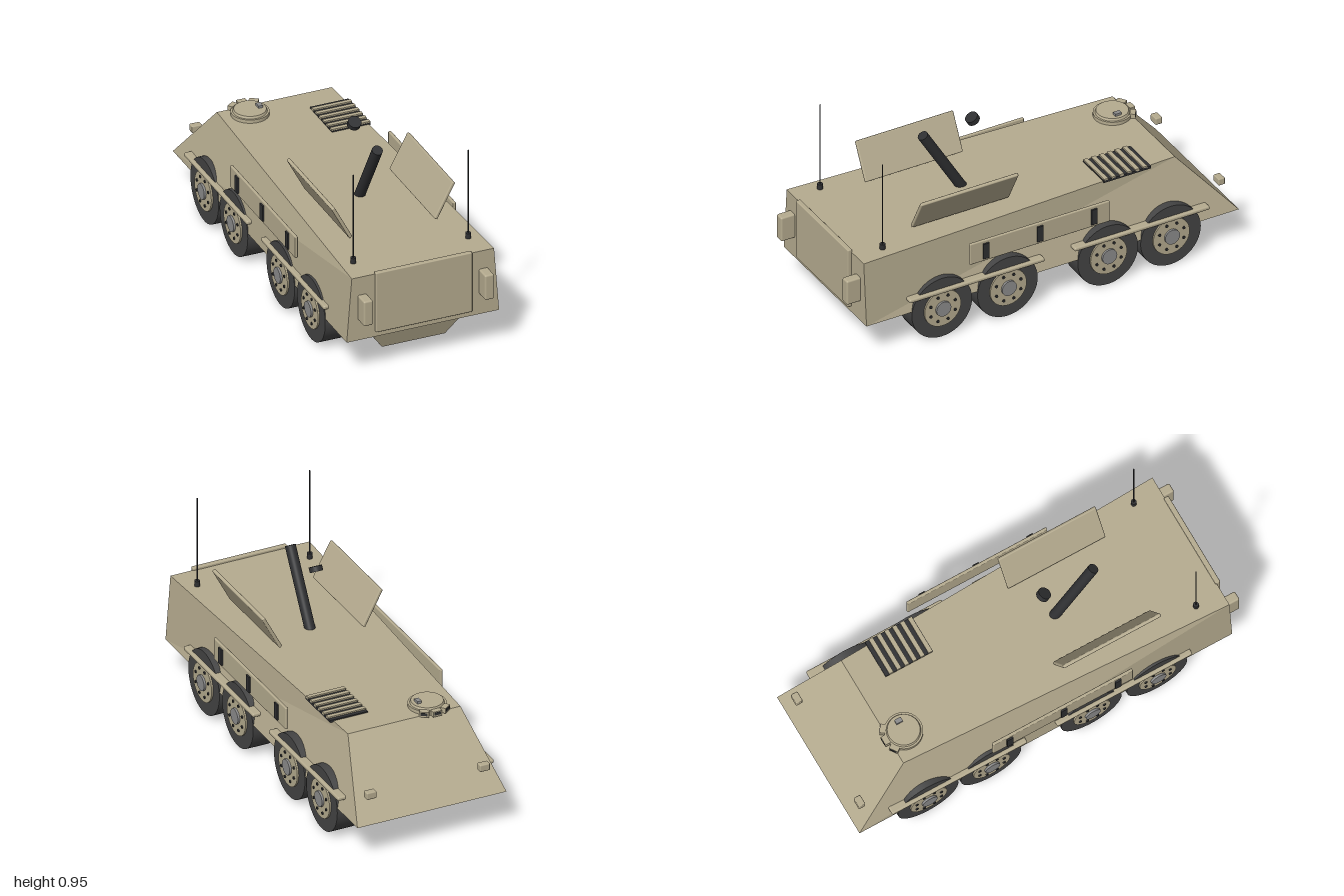
import * as THREE from 'three';
import { RoundedBoxGeometry } from 'three/addons/geometries/RoundedBoxGeometry.js';

const paint = (color, extra = {}) => new THREE.MeshStandardMaterial({ color, ...extra });
const tan = paint(0xb5ab8f);
const tanFlat = paint(0xb5ab8f, { flatShading: true });
const rubber = paint(0x444444);
const black = paint(0x2e2f31);
const steel = paint(0x8c8c8c);

export function createModel() {
  const model = new THREE.Group();

  const add = (name, geometry, material, x = 0, y = 0, z = 0, parent = model) => {
    const mesh = new THREE.Mesh(geometry, material);
    mesh.name = name;
    mesh.position.set(x, y, z);
    parent.add(mesh);
    return mesh;
  };
  const box = (w, h, d) => new THREE.BoxGeometry(w, h, d);
  const disc = (r, h, n = 40) => new THREE.CylinderGeometry(r, r, h, n);
  const axle = (r, h, n) => disc(r, h, n).rotateZ(Math.PI / 2);

  // Six-sided solid; each level gives y and [half width, z] for rear and front
  const hullBlock = (low, high) => {
    const points = [low, high].flatMap(({ y, rear, front }) => [
      -rear[0], y, rear[1], rear[0], y, rear[1],
      front[0], y, front[1], -front[0], y, front[1],
    ]);
    const index = [4, 5, 6, 4, 6, 7, 0, 2, 1, 0, 3, 2];
    for (let i = 0; i < 4; i++) {
      const j = (i + 1) % 4;
      index.push(i, j, j + 4, i, j + 4, i + 4);
    }
    const g = new THREE.BufferGeometry();
    g.setAttribute('position', new THREE.Float32BufferAttribute(points, 3));
    g.setIndex(index);
    const flat = g.toNonIndexed();
    flat.computeVertexNormals();
    return flat;
  };

  // Hull: armoured body and narrower belly
  add('upperHull', hullBlock(
    { y: 0.18, rear: [0.375, 0.93], front: [0.375, -1] },
    { y: 0.503, rear: [0.35, 0.93], front: [0.283, -0.72] }), tanFlat);
  add('lowerHull', hullBlock(
    { y: 0.055, rear: [0.155, 0.825], front: [0.155, -0.765] },
    { y: 0.182, rear: [0.246, 0.87], front: [0.246, -0.98] }), tanFlat);

  // Rear ramp
  add('rearDoor', new RoundedBoxGeometry(0.474, 0.306, 0.024, 2, 0.005), tan, 0, 0.362, 0.936);

  // Wheels with rim, hub and a ring of bolts
  const wheel = (side, z) => {
    const g = new THREE.Group();
    g.name = 'wheel';
    g.position.set(0, 0.157, z);
    add('tyre', axle(0.156, 0.112, 48), rubber, side * 0.321, 0, 0, g);
    add('rim', axle(0.094, 0.02), tan, side * 0.375, 0, 0, g);
    add('hub', axle(0.038, 0.03, 24), steel, side * 0.38, 0, 0, g);
    for (let i = 0; i < 8; i++) {
      const a = (i + 0.5) * Math.PI / 4;
      add('bolt', axle(0.007, 0.02, 10), black,
        side * 0.38, Math.sin(a) * 0.068, Math.cos(a) * 0.068, g);
    }
    model.add(g);
  };

  for (const side of [-1, 1]) {
    for (const z of [0.54, 0.2, -0.32, -0.645]) wheel(side, z);

    // Mud guard rails above each wheel pair
    for (const z of [0.365, -0.49])
      add('fender', new RoundedBoxGeometry(0.045, 0.02, 0.7, 3, 0.008), tan, side * 0.371, 0.25, z);

    // Stowage panel with straps
    add('sidePanel', new RoundedBoxGeometry(0.015, 0.11, 0.725, 2, 0.005), tan, side * 0.389, 0.405, 0.043);
    for (const z of [0.325, 0.045, -0.235])
      add('panelStrap', box(0.012, 0.08, 0.03), black, side * 0.399, 0.405, z);

    // Open roof flaps leaning outward
    const flap = add('roofFlap', new RoundedBoxGeometry(0.017, 0.193, 0.505, 2, 0.006), tan,
      side * 0.253, 0.602, 0.352);
    flap.rotation.z = -side * 0.485;

    // Antennas
    add('antennaBase', disc(0.013, 0.03, 20), black, side * 0.283, 0.515, 0.795);
    add('antenna', disc(0.0032, 0.44, 8), black, side * 0.283, 0.735, 0.795);

    // Lamps
    add('rearLamp', new RoundedBoxGeometry(0.045, 0.127, 0.075, 3, 0.008), tan, side * 0.298, 0.348, 0.9625);
    add('headLamp', new RoundedBoxGeometry(0.05, 0.035, 0.034, 2, 0.005), tan, side * 0.285, 0.307, -0.949);
  }

  // Mortar tube, tilted to the rear, with a separate ring set apart from it
  const tilt = 0.54;
  const tube = add('mortarTube', disc(0.025, 0.4), black, 0, 0.657, 0.322);
  tube.rotation.x = tilt;
  const ring = add('mortarRing', disc(0.031, 0.025), black, 0, 0.836, 0.167);
  ring.rotation.x = tilt;

  // Commander hatch with handle and three periscopes
  const hatch = new THREE.Group();
  hatch.name = 'hatch';
  hatch.position.set(-0.153, 0.5, -0.645);
  model.add(hatch);
  add('hatchRing', disc(0.088, 0.022), tan, 0, 0.009, 0, hatch);
  add('hatchLid', new THREE.CylinderGeometry(0.074, 0.079, 0.012, 40), tan, 0, 0.025, 0, hatch);
  add('hatchHandle', box(0.022, 0.014, 0.032), steel, 0.046, 0.036, 0, hatch);
  for (const a of [-0.6, 0, 0.6]) {
    const scope = add('periscope', box(0.044, 0.026, 0.026), tan,
      Math.sin(a) * 0.093, 0.012, -Math.cos(a) * 0.093, hatch);
    scope.rotation.y = -a;
    add('periscopeGlass', box(0.032, 0.014, 0.004), black, 0, 0.002, -0.013, scope);
  }

  // Engine grille
  add('grilleBase', box(0.19, 0.012, 0.245), black, 0.21, 0.503, -0.4625);
  for (let i = 0; i < 6; i++)
    add('grilleSlat', box(0.19, 0.012, 0.021), tan, 0.21, 0.51, -0.555 + i * 0.0405);

  return model;
}
